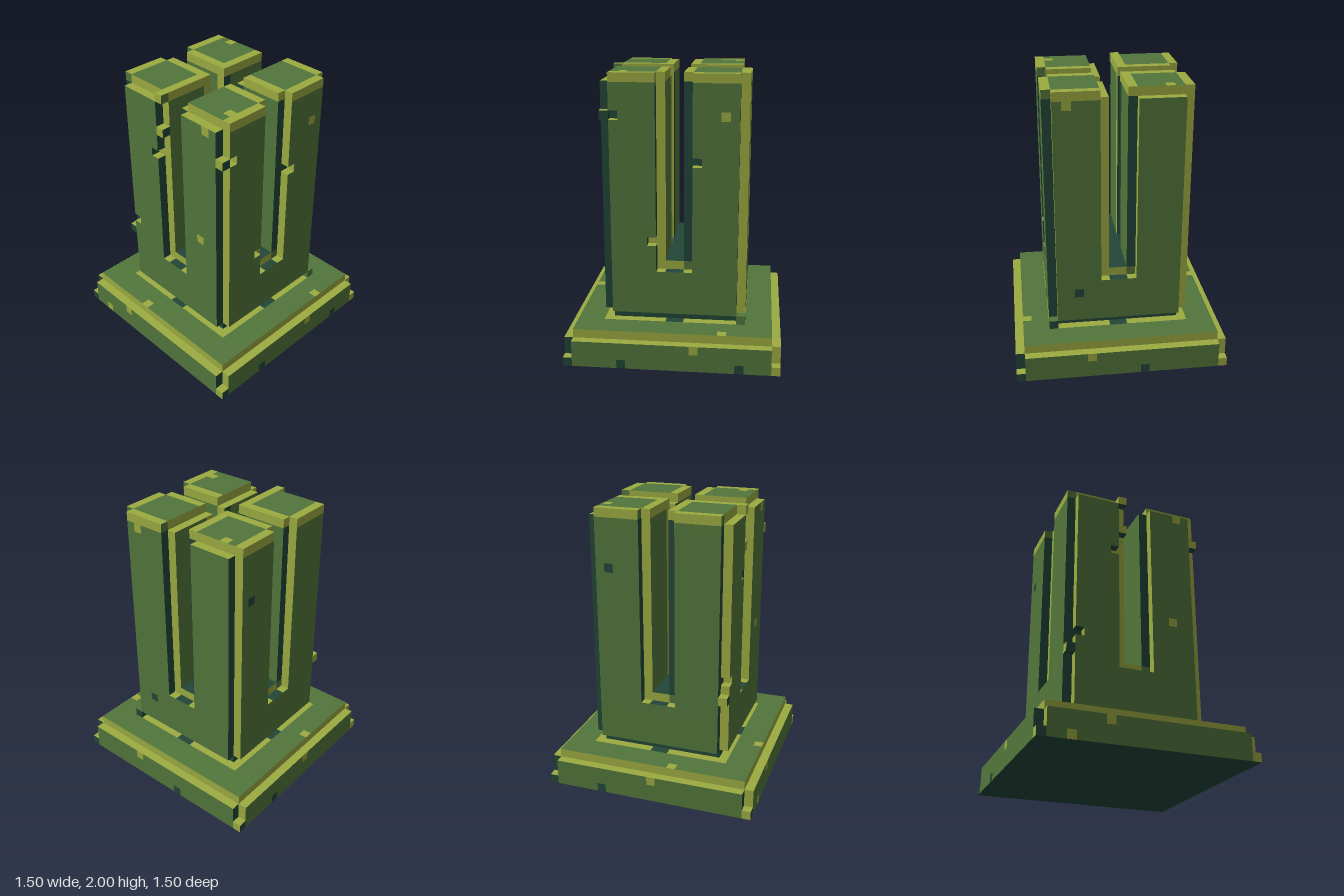
import * as THREE from 'three';

const U = 1 / 16; // one block unit
const MID = 0, LIGHT = 1, DARK = 2;

const materials = [['mossGreen', 0x52763b], ['limeEdge', 0x9cac41], ['deepTeal', 0x224638]].map(([name, color]) => {
  const m = new THREE.MeshStandardMaterial({ color });
  m.name = name;
  return m;
});

// Each facing: normal, right and up directions
const FACINGS = {
  front: [[0, 0, 1], [1, 0, 0], [0, 1, 0]],
  back: [[0, 0, -1], [-1, 0, 0], [0, 1, 0]],
  left: [[1, 0, 0], [0, 0, -1], [0, 1, 0]],
  right: [[-1, 0, 0], [0, 0, 1], [0, 1, 0]],
  top: [[0, 1, 0], [1, 0, 0], [0, 0, -1]],
  bottom: [[0, -1, 0], [1, 0, 0], [0, 0, 1]],
};

// Cell coordinate along a horizontal direction (cells mirror as c -> -1 - c)
const along = (d, x, z) => (d[0] ? (d[0] > 0 ? x : -1 - x) : d[2] > 0 ? z : -1 - z);
const find = (list, u, v) => list.find((s) => s[0] === u && s[1] === v);

// Builds the outer skin of a stepped block from a solid rule and a colour rule
function steppedBlock(name, half, y0, y1, solid, paint) {
  const buckets = [[], [], []];
  for (let x = -half; x < half; x++)
    for (let y = y0; y < y1; y++)
      for (let z = -half; z < half; z++) {
        if (!solid(x, y, z)) continue;
        for (const [face, [n, a, b]] of Object.entries(FACINGS)) {
          if (solid(x + n[0], y + n[1], z + n[2])) continue;
          const u = along(a, x, z), depth = along(n, x, z);
          const c = [x + 0.5, y + 0.5, z + 0.5];
          const corner = (s, t) => c.map((v, i) => (v + (n[i] + s * a[i] + t * b[i]) / 2) * U);
          const [p, q, r, s] = [corner(-1, -1), corner(1, -1), corner(1, 1), corner(-1, 1)];
          buckets[paint(face, u, y, depth, x, z)].push(...p, ...q, ...r, ...p, ...r, ...s);
        }
      }
  const geo = new THREE.BufferGeometry();
  geo.setAttribute('position', new THREE.Float32BufferAttribute(buckets.flat(), 3));
  let start = 0;
  buckets.forEach((list, i) => {
    geo.addGroup(start, list.length / 3, i);
    start += list.length / 3;
  });
  geo.computeVertexNormals();
  const mesh = new THREE.Mesh(geo, materials);
  mesh.name = name;
  return mesh;
}

// Plinth: recessed upper rim, notched corners with feet
const plinthSpots = {
  front: [[-5, 2, LIGHT], [-9, 0, LIGHT]],
  left: [[2, 2, LIGHT], [-6, 0, DARK], [7, 0, DARK]],
  back: [[-4, 2, LIGHT], [2, 0, DARK]],
  right: [[0, 2, LIGHT], [-6, 0, DARK]],
  top: [[10, -6, LIGHT], [-11, 2, LIGHT], [-3, 10, LIGHT]],
};

function plinthSolid(x, y, z) {
  if (y < 0 || y > 3 || x < -12 || x > 11 || z < -12 || z > 11) return false;
  const ex = x === -12 || x === 11, ez = z === -12 || z === 11;
  if (y === 3) return !ex && !ez;
  return y === 0 || !(ex && ez);
}

function plinthPaint(face, u, y, depth, x, z) {
  if (face === 'bottom') return DARK;
  if (face === 'top') {
    if (y < 3) return LIGHT;
    const spot = find(plinthSpots.top, x, z);
    if (spot) return spot[2];
    // border around the foot of the towers
    const inside = x >= -8 && x <= 7 && z >= -8 && z <= 7;
    if (!inside) return MID;
    return x === -1 || x === 0 || z === -1 || z === 0 ? DARK : LIGHT;
  }
  const spot = depth >= 10 && find(plinthSpots[face], u, y);
  if (spot) return spot[2];
  if (y === 3) return LIGHT;
  return u === -12 ? DARK : u === 11 ? LIGHT : MID;
}

// Towers: four columns split by a cross-shaped trench
const frontBites = [[-3, 24, LIGHT], [-7, 13, DARK]];
const sideBites = [[-7, 27, DARK], [2, 22, DARK], [-3, 13, LIGHT]];
const bites = { front: frontBites, back: [], left: sideBites, right: [] };
const towerSpots = {
  front: [[4, 16, LIGHT], [5, 30, LIGHT]],
  left: [[5, 27, LIGHT]],
  back: [[-5, 8, DARK], [-6, 30, LIGHT]],
  right: [[-6, 25, DARK]],
  top: [[-6, -7], [6, 5]],
};
const nubs = [[7, 27, 7], [-8, 11, 7], [-2, 27, 7], [7, 4, -8], [-2, 31, 7]];

function towerSolid(x, y, z) {
  if (y < 4 || y > 31 || x < -8 || x > 7 || z < -8 || z > 7) return false;
  if (nubs.some((p) => p[0] === x && p[1] === y && p[2] === z)) return true;
  const ex = x === -8 || x === 7, ez = z === -8 || z === 7;
  const mx = x >= -2 && x <= 1, mz = z >= -2 && z <= 1;
  if (y > 10 && (x === -1 || x === 0 || z === -1 || z === 0)) return false; // trench
  if (ex && ez) return false; // notched corners
  if (y === 4 && (ex || ez)) return false; // recessed foot
  if (y >= 10 && ((ez && mx) || (ex && mz))) return false; // trench mouths
  if (y === 31 && (z === 7 || (z === -8 && x < 0) || x === 1)) return false; // top ledges
  // small bites beside the edges
  for (const face of ['front', 'back', 'left', 'right']) {
    const [n, a] = FACINGS[face];
    if (along(n, x, z) === 7 && find(bites[face], along(a, x, z), y)) return false;
  }
  return true;
}

function towerPaint(face, u, y, depth, x, z) {
  if (face === 'bottom') return DARK;
  if (face === 'top') {
    if (x === -1 || x === 0 || z === -1 || z === 0) return DARK;
    if (y <= 10) return x >= -2 && x <= 1 ? LIGHT : z >= -2 && z <= 1 ? LIGHT : MID;
    const edge = [-8, -2, 1, 7];
    return edge.includes(x) || edge.includes(z) || find(towerSpots.top, x, z) ? LIGHT : MID;
  }
  if (depth >= 6) {
    const spot = find(bites[face], u, y) || find(towerSpots[face], u, y);
    if (spot) return spot[2];
  }
  if (y === 31) return u === -8 ? MID : LIGHT;
  if (y === 4) return u === 7 ? MID : DARK;
  if (y === 10 && u >= -2 && u <= 1) return u === 1 ? MID : LIGHT;
  if (u === -8 || (u === 1 && y > 10)) return DARK;
  if (u === 7 || (u === -2 && y > 10)) return LIGHT;
  return MID;
}

export function createModel() {
  const group = new THREE.Group();
  group.name = 'fourTowerMonument';
  group.add(steppedBlock('plinth', 12, 0, 4, plinthSolid, plinthPaint));
  group.add(steppedBlock('towers', 8, 4, 32, towerSolid, towerPaint));
  return group;
}
